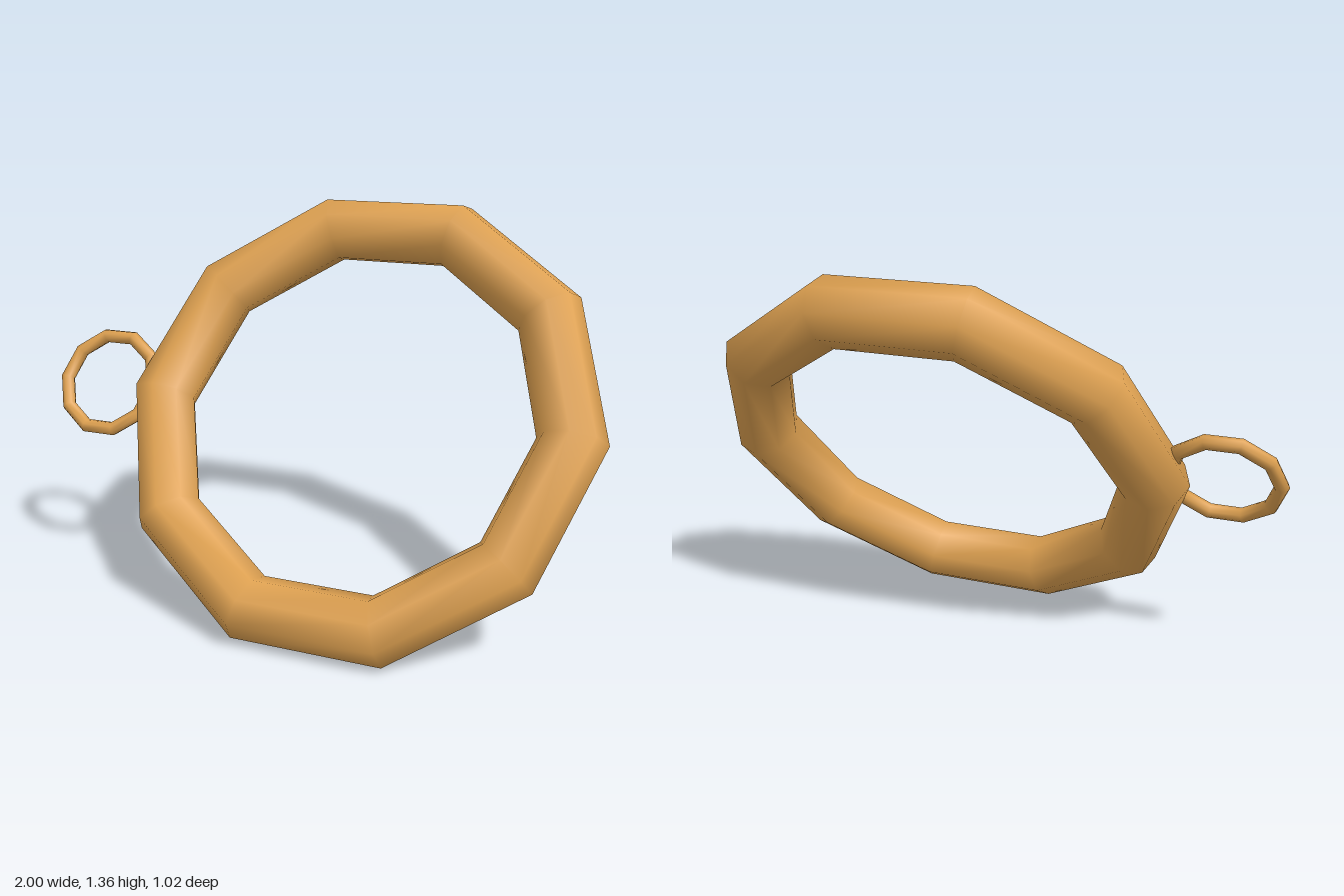
import * as THREE from 'three';

const gold = new THREE.MeshStandardMaterial({ color: 0xdda050 });
gold.name = 'gold';

// Ten-segment ring with an eight-sided tube, leaning back by the given degrees
function makeRing(name, radius, tube, position, lean) {
  const ring = new THREE.Mesh(new THREE.TorusGeometry(radius, tube, 8, 10), gold);
  ring.name = name;
  ring.position.set(...position);
  ring.rotation.x = -THREE.MathUtils.degToRad(lean);
  return ring;
}

export function createModel() {
  const model = new THREE.Group();
  model.name = 'linkedRings';
  model.add(
    makeRing('largeRing', 0.73, 0.115, [0.155, 0.677, 0], 35),
    makeRing('smallRing', 0.181, 0.025, [-0.794, 0.706, 0.023], 30),
  );
  return model;
}
